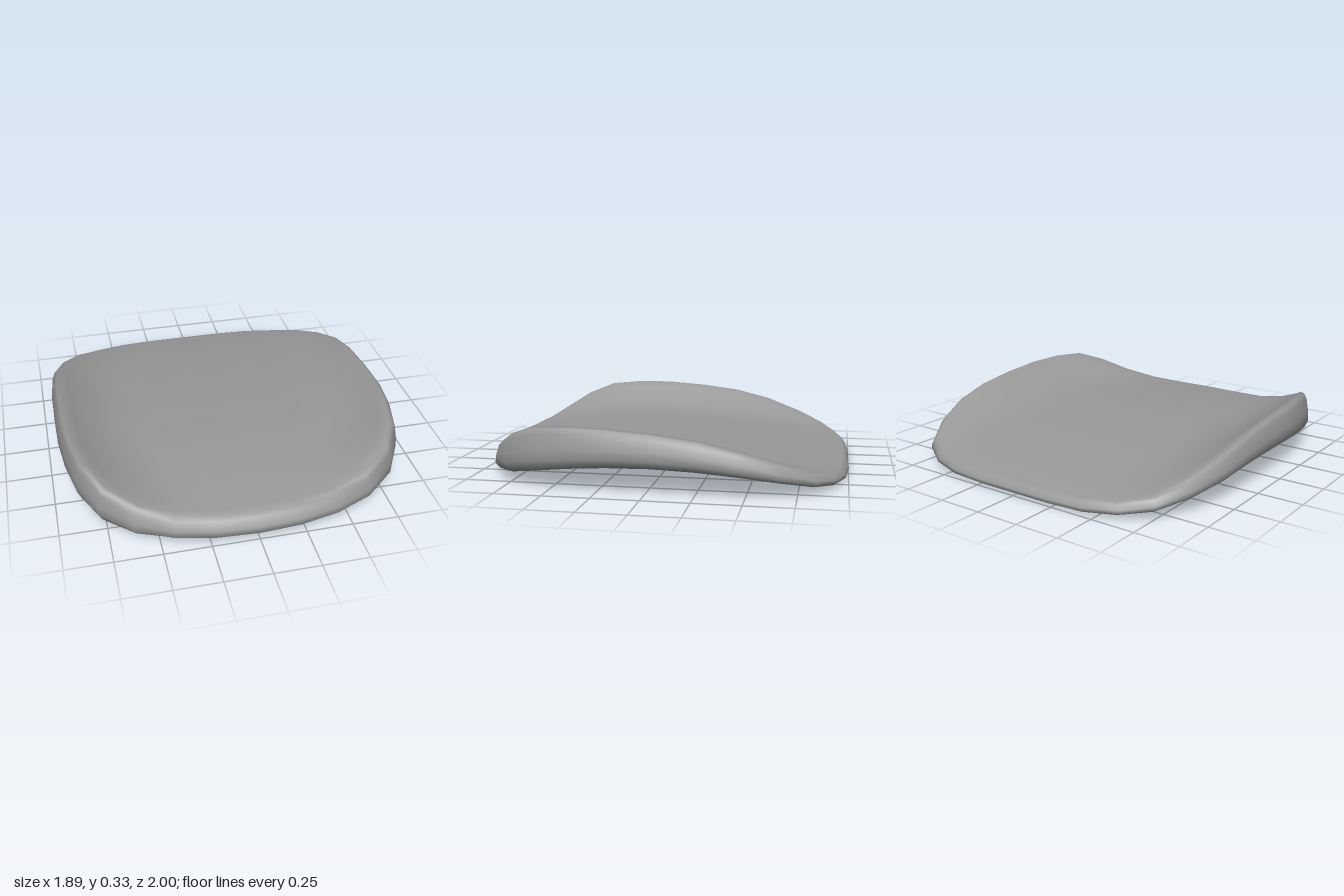
import * as THREE from 'three';
import { mergeVertices } from 'three/addons/utils/BufferGeometryUtils.js';

// Half of the plan outline, back centre to front centre: [x, z]
const HALF = [
  [0, -1], [0.22, -1], [0.43, -0.985], [0.61, -0.935], [0.765, -0.84], [0.87, -0.67],
  [0.93, -0.47], [0.945, -0.26], [0.947, -0.03], [0.945, 0.2], [0.925, 0.4], [0.88, 0.6],
  [0.79, 0.76], [0.63, 0.88], [0.43, 0.95], [0.22, 0.988], [0, 1],
];
// Rounded edge section: [share of the inset, share of the thickness]
const EDGE = [[1, 0], [0.7, 0.02], [0.35, 0.08], [0, 0.26], [0.05, 0.5], [0.33, 0.84], [0.62, 0.96], [1, 1]];
const INNER = [0, 0.15, 0.3, 0.45, 0.58, 0.7, 0.8, 0.88, 0.95];

// Piecewise-linear lookup in a list of [position, value]
function lookup(table, p) {
  if (p <= table[0][0]) return table[0][1];
  for (let i = 1; i < table.length; i++) {
    const [p0, v0] = table[i - 1], [p1, v1] = table[i];
    if (p <= p1) return v0 + (v1 - v0) * (p - p0) / (p1 - p0);
  }
  return table[table.length - 1][1];
}

// Along z: height of the seat's centre line, rise of the sides, and the x where that rise starts
const CENTRE = [[-0.95, 0.068], [-0.8, 0.097], [-0.6, 0.125], [-0.3, 0.155], [0, 0.174], [0.3, 0.18], [0.5, 0.174], [0.7, 0.161], [0.9, 0.139]];
const WINGS = [[-0.95, 0.03], [-0.8, 0.055], [-0.65, 0.08], [-0.47, 0.1], [-0.25, 0.122], [0, 0.134], [0.2, 0.144], [0.4, 0.162], [0.6, 0.188], [0.72, 0.185], [0.83, 0.165], [0.9, 0.15]];
const WING_START = [[0.4, 0.5], [0.9, 0.25]];

function topHeight(x, z) {
  const start = lookup(WING_START, z);
  const rise = Math.max(0, (Math.abs(x) - start) / (0.88 - start)) ** 2;
  return lookup(CENTRE, z) + lookup(WINGS, z) * rise;
}
const bottomHeight = (x, z) =>
  0.1 * (1 - (z / 0.93) ** 2) + 0.03 * (Math.abs(x) / 0.87) ** 4;

function cushionGeometry() {
  const outline = [...HALF, ...HALF.slice(1, -1).reverse().map(([x, z]) => [-x, z])];
  const n = outline.length;
  const positions = [], index = [];
  let rows = 0;

  for (const [ox, oz] of outline) {
    // The front edge is rolled more softly than the back
    const insetX = 0.06, insetZ = (oz > 0 ? 0.1 : 0.06) * oz ** 4;
    const rimX = ox * (1 - insetX), rimZ = oz * (1 - insetZ);
    const low = Math.max(0, bottomHeight(rimX, rimZ));
    const high = topHeight(rimX, rimZ);
    const column = [];
    // underside, from the middle outwards
    for (const s of INNER) {
      column.push([rimX * s, bottomHeight(rimX * s, rimZ * s), rimZ * s]);
    }
    // rolled edge
    for (const [u, t] of EDGE) {
      column.push([ox * (1 - insetX * u), low + (high - low) * t, oz * (1 - insetZ * u)]);
    }
    // upper side, back to the middle
    for (const s of [...INNER].reverse()) {
      column.push([rimX * s, topHeight(rimX * s, rimZ * s), rimZ * s]);
    }
    rows = column.length;
    positions.push(...column.flat());
  }

  for (let i = 0; i < n; i++) {
    for (let j = 0; j < rows - 1; j++) {
      const a = i * rows + j, c = ((i + 1) % n) * rows + j;
      if (j < rows - 2) index.push(a, a + 1, c + 1);
      if (j > 0) index.push(a, c + 1, c);
    }
  }

  const geometry = new THREE.BufferGeometry();
  geometry.setAttribute('position', new THREE.Float32BufferAttribute(positions, 3));
  geometry.setIndex(index);
  const merged = mergeVertices(geometry, 1e-4);
  merged.computeVertexNormals();
  return merged;
}

export function createModel() {
  const group = new THREE.Group();
  group.name = 'seatPad';
  const cushion = new THREE.Mesh(cushionGeometry(), new THREE.MeshStandardMaterial({ color: 0x999999 }));
  cushion.name = 'cushion';
  group.add(cushion);
  return group;
}
